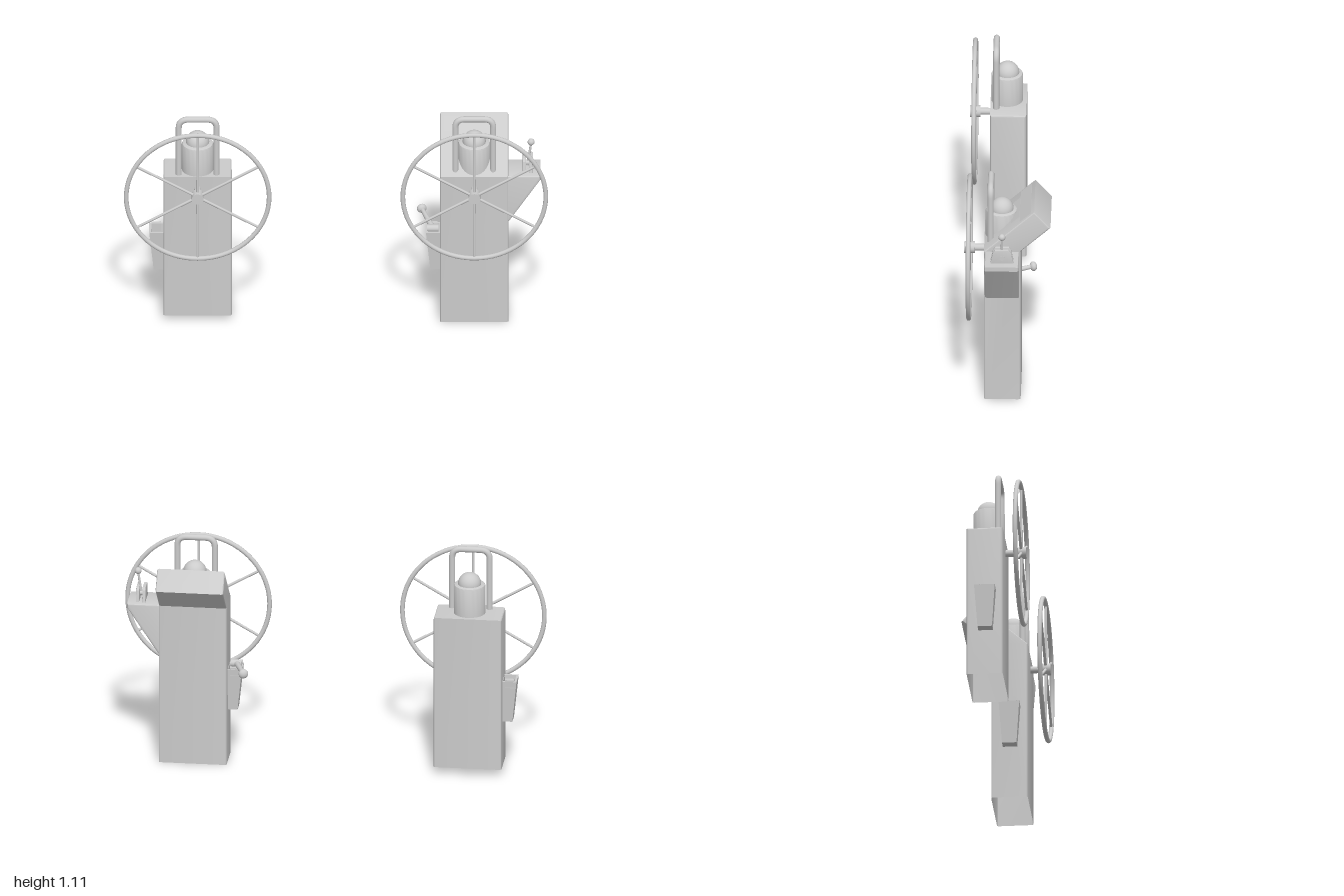
import * as THREE from 'three';
import { toCreasedNormals, mergeVertices } from 'three/addons/utils/BufferGeometryUtils.js';

const grey = new THREE.MeshStandardMaterial({ color: 0xcccccc, side: THREE.DoubleSide });
const V = (x, y, z) => new THREE.Vector3(x, y, z);

function add(parent, name, geometry, x = 0, y = 0, z = 0) {
  const mesh = new THREE.Mesh(geometry, grey);
  mesh.name = name;
  mesh.position.set(x, y, z);
  parent.add(mesh);
  return mesh;
}

function polygon(points) {
  return new THREE.Shape(points.map(([a, b]) => new THREE.Vector2(a, b)));
}

// Bevelled slab whose outer size matches the profile, centred along z
function slab(points, depth, bevel) {
  const g = new THREE.ExtrudeGeometry(polygon(points), {
    depth: depth - 2 * bevel, bevelEnabled: true, bevelSize: bevel,
    bevelThickness: bevel, bevelOffset: -bevel, bevelSegments: 3,
  });
  return g.translate(0, 0, bevel - depth / 2);
}

// Side profile (z, y) swept across x, with the underside left open
function openShell(points, width, bevel) {
  const g = slab(points, width, bevel).rotateY(-Math.PI / 2).toNonIndexed();
  const floor = Math.min(...points.map((p) => p[1]));
  const p = g.attributes.position;
  for (let i = 0; i < p.count; i++) if (p.getY(i) < floor + 0.03) p.setY(i, floor);
  const kept = [];
  for (let i = 0; i < p.count; i += 3) {
    const onFloor = [0, 1, 2].every((k) => p.getY(i + k) < floor + 1e-4);
    if (!onFloor) for (let k = 0; k < 3; k++) kept.push(p.getX(i + k), p.getY(i + k), p.getZ(i + k));
  }
  const out = new THREE.BufferGeometry();
  out.setAttribute('position', new THREE.Float32BufferAttribute(kept, 3));
  return toCreasedNormals(mergeVertices(out), 0.3);
}

// Round bar between two points
function rod(parent, name, a, b, rA, rB = rA) {
  const d = b.clone().sub(a);
  const mesh = add(parent, name, new THREE.CylinderGeometry(rB, rA, d.length(), 16));
  mesh.position.copy(a).addScaledVector(d, 0.5);
  mesh.quaternion.setFromUnitVectors(V(0, 1, 0), d.normalize());
  return mesh;
}

// Six-spoked steering wheel with hub and shaft
function wheel(parent) {
  const g = new THREE.Group();
  g.name = 'steeringWheel';
  g.position.set(0, 0.731, 0.182);
  add(g, 'rim', new THREE.TorusGeometry(0.337, 0.011, 12, 72));
  for (let i = 0; i < 6; i++) {
    const a = Math.PI / 6 + (i * Math.PI) / 3;
    rod(g, 'spoke', V(0, 0, 0), V(Math.cos(a) * 0.337, Math.sin(a) * 0.337, 0), 0.007, 0.006);
  }
  rod(g, 'hub', V(0, 0, -0.026), V(0, 0, 0.024), 0.028);
  rod(g, 'shaft', V(0, 0, -0.085), V(0, 0, 0), 0.016);
  parent.add(g);
}

// Compass: drum with a half-sunk ball, behind a round guard rail
function compass(parent) {
  const g = new THREE.Group();
  g.name = 'compass';
  const drum = [[0, 0.78], [0.075, 0.78], [0.075, 0.932], [0.072, 0.939], [0.066, 0.942], [0, 0.942]];
  const lathe = new THREE.LatheGeometry(drum.map((p) => new THREE.Vector2(...p)), 40);
  add(g, 'compassDrum', toCreasedNormals(lathe, 0.7), 0, 0, 0.03);
  add(g, 'compassBall', new THREE.SphereGeometry(0.055, 32, 20), 0, 0.943, 0.028);
  const path = new THREE.CurvePath();
  const [w, top, r, z] = [0.089, 1.095, 0.045, 0.08];
  path.add(new THREE.LineCurve3(V(-w, 0.78, z), V(-w, top - r, z)));
  path.add(new THREE.QuadraticBezierCurve3(V(-w, top - r, z), V(-w, top, z), V(-w + r, top, z)));
  path.add(new THREE.LineCurve3(V(-w + r, top, z), V(w - r, top, z)));
  path.add(new THREE.QuadraticBezierCurve3(V(w - r, top, z), V(w, top, z), V(w, top - r, z)));
  path.add(new THREE.LineCurve3(V(w, top - r, z), V(w, 0.78, z)));
  add(g, 'guardRail', new THREE.TubeGeometry(path, 80, 0.0145, 14));
  parent.add(g);
}

// Tapered, hollow lever box on the right-hand wall
function leverBox(parent) {
  const g = new THREE.Group();
  g.name = 'leverBox';
  g.position.set(-0.158, 0.47, 0.027);
  const [w, d, h, t] = [0.07, 0.098, 0.208, 0.01];
  const rect = (i) => [[-w + i, -d / 2 + i], [0, -d / 2 + i], [0, d / 2 - i], [-w + i, d / 2 - i]];
  const ring = polygon(rect(0));
  const hole = rect(t).map(([a, b]) => new THREE.Vector2(a === 0 ? -t / 2 : a, b));
  ring.holes.push(new THREE.Path(hole));
  const taper = (geo) => {
    const p = geo.attributes.position;
    for (let i = 0; i < p.count; i++) {
      const s = 1 + 0.3 * (p.getY(i) / h);
      p.setXYZ(i, p.getX(i) * s, p.getY(i), p.getZ(i) * s);
    }
    geo.computeVertexNormals();
    return geo;
  };
  const extrude = (shape, depth) =>
    new THREE.ExtrudeGeometry(shape, { depth, bevelEnabled: false }).rotateX(Math.PI / 2);
  add(g, 'boxWalls', taper(extrude(ring, h)));
  add(g, 'boxFloor', taper(extrude(polygon(rect(0)), 0.012).translate(0, -h + 0.012, 0)));
  add(g, 'boxBlock', new THREE.BoxGeometry(0.045, 0.04, 0.022), -0.037, -0.012, -0.036);
  parent.add(g);
}

// Pedestal parts shared by both stations
function station(name, x, profile) {
  const g = new THREE.Group();
  g.name = name;
  g.position.x = x;
  add(g, 'pedestal', openShell(profile, 0.322, 0.01));
  wheel(g);
  compass(g);
  leverBox(g);
  return g;
}

// Instrument panels laid on the sloping face of the head
function instrumentPanels(parent) {
  const g = new THREE.Group();
  g.name = 'instrumentPanels';
  g.position.set(0, 1.01, -0.127);
  g.rotation.x = Math.atan2(0.215, 0.237);
  add(g, 'upperPanel', new THREE.BoxGeometry(0.285, 0.006, 0.07), 0, 0, 0.055);
  for (const s of [-1, 1]) {
    add(g, 'lowerPanel', new THREE.BoxGeometry(0.085, 0.006, 0.055), s * 0.047, 0, 0.12);
  }
  parent.add(g);
}

// Side shelf with a throttle lever between two cheeks
function throttle(parent) {
  const g = new THREE.Group();
  g.name = 'throttle';
  const shelf = [[0.145, 0.797], [0.312, 0.797], [0.312, 0.775], [0.165, 0.55], [0.145, 0.54]];
  add(g, 'shelf', toCreasedNormals(slab(shelf, 0.162, 0.008), 0.3), 0, 0, 0.025);
  const cheek = [[-0.057, 0.785], [0.057, 0.785], [0.042, 0.852], [0.032, 0.866], [-0.032, 0.866], [-0.042, 0.852]];
  for (const x of [0.236, 0.266]) {
    add(g, 'throttleCheek', toCreasedNormals(slab(cheek, 0.015, 0.003).rotateY(-Math.PI / 2), 0.3), x, 0, 0.023);
  }
  rod(g, 'throttlePivot', V(0.23, 0.825, 0.023), V(0.277, 0.825, 0.023), 0.012);
  rod(g, 'throttleLever', V(0.251, 0.81, 0.023), V(0.268, 0.93, 0.023), 0.007, 0.005);
  add(g, 'throttleKnob', new THREE.SphereGeometry(0.0165, 20, 14), 0.268, 0.936, 0.023);
  parent.add(g);
}

// Long lever reaching backwards from the lever box
function gearLever(parent) {
  const g = new THREE.Group();
  g.name = 'gearLever';
  const base = V(-0.196, 0.478, 0.045), tip = V(-0.247, 0.491, -0.115);
  rod(g, 'leverPivot', V(-0.222, 0.478, 0.045), V(-0.168, 0.478, 0.045), 0.018);
  rod(g, 'leverArm', base, tip, 0.014, 0.01);
  const knob = add(g, 'leverKnob', new THREE.SphereGeometry(0.023, 24, 16));
  knob.position.copy(tip);
  knob.quaternion.setFromUnitVectors(V(0, 1, 0), tip.clone().sub(base).normalize());
  knob.scale.y = 0.75;
  parent.add(g);
}

export function createModel() {
  const model = new THREE.Group();
  model.name = 'twinHelm';

  // Plain station
  model.add(station('rightStation', -0.652,
    [[-0.063, 0.037], [0.108, 0.037], [0.108, 0.797], [-0.063, 0.797]]));

  // Main station with leaning instrument head
  const main = station('leftStation', 0.652,
    [[-0.063, 0], [0.11, 0], [0.11, 0.797], [-0.127, 1.012], [-0.204, 0.925], [-0.063, 0.797]]);
  instrumentPanels(main);
  throttle(main);
  gearLever(main);
  model.add(main);
  return model;
}
